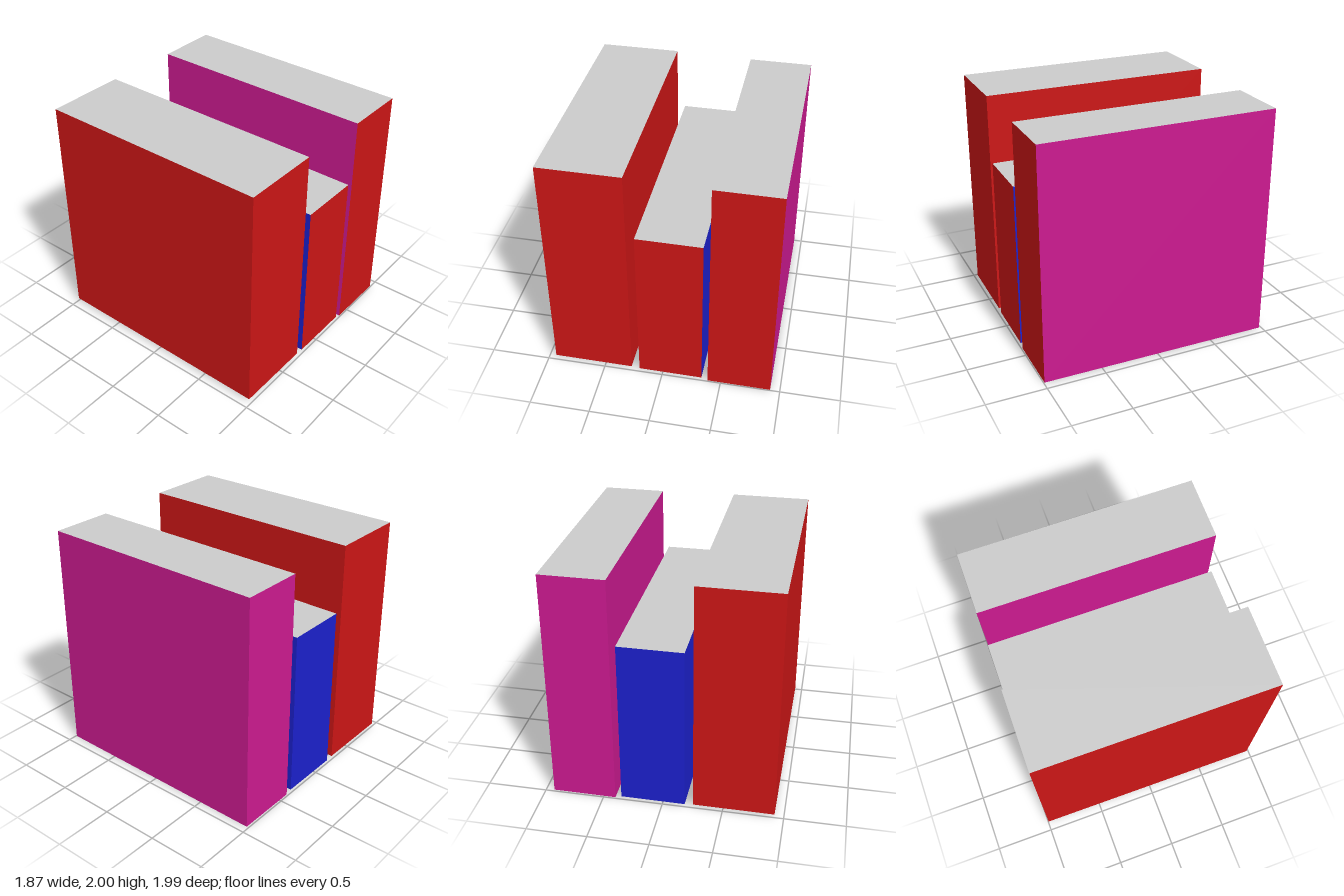
import * as THREE from 'three';

const paint = (color) => new THREE.MeshStandardMaterial({ color });

export function createModel() {
  const group = new THREE.Group();
  const grey = paint(0xcccccc);
  const red = paint(0xcc1616);
  const blue = paint(0x1c20cc);
  const pink = paint(0xcc1a90);

  // Upright block: grey top, red front and underside, its own colour on the sides and back
  function addBlock(name, side, width, depth, bottom, top, x, z) {
    const block = new THREE.Mesh(
      new THREE.BoxGeometry(width, top - bottom, depth),
      [side, side, grey, red, red, side] // +x, -x, top, bottom, front, back
    );
    block.name = name;
    block.position.set(x, (bottom + top) / 2, z);
    block.rotation.y = -0.006; // all blocks stand very slightly turned
    group.add(block);
  }

  addBlock('rightTallBlock', red, 0.67, 1.975, 0.028, 2.0, -0.596, -0.007);
  addBlock('middleShortBlock', blue, 0.535, 1.975, 0.02, 1.443, 0.075, -0.002);
  addBlock('leftTallBlock', pink, 0.53, 1.975, 0.0, 1.988, 0.66, 0.004);

  return group;
}
